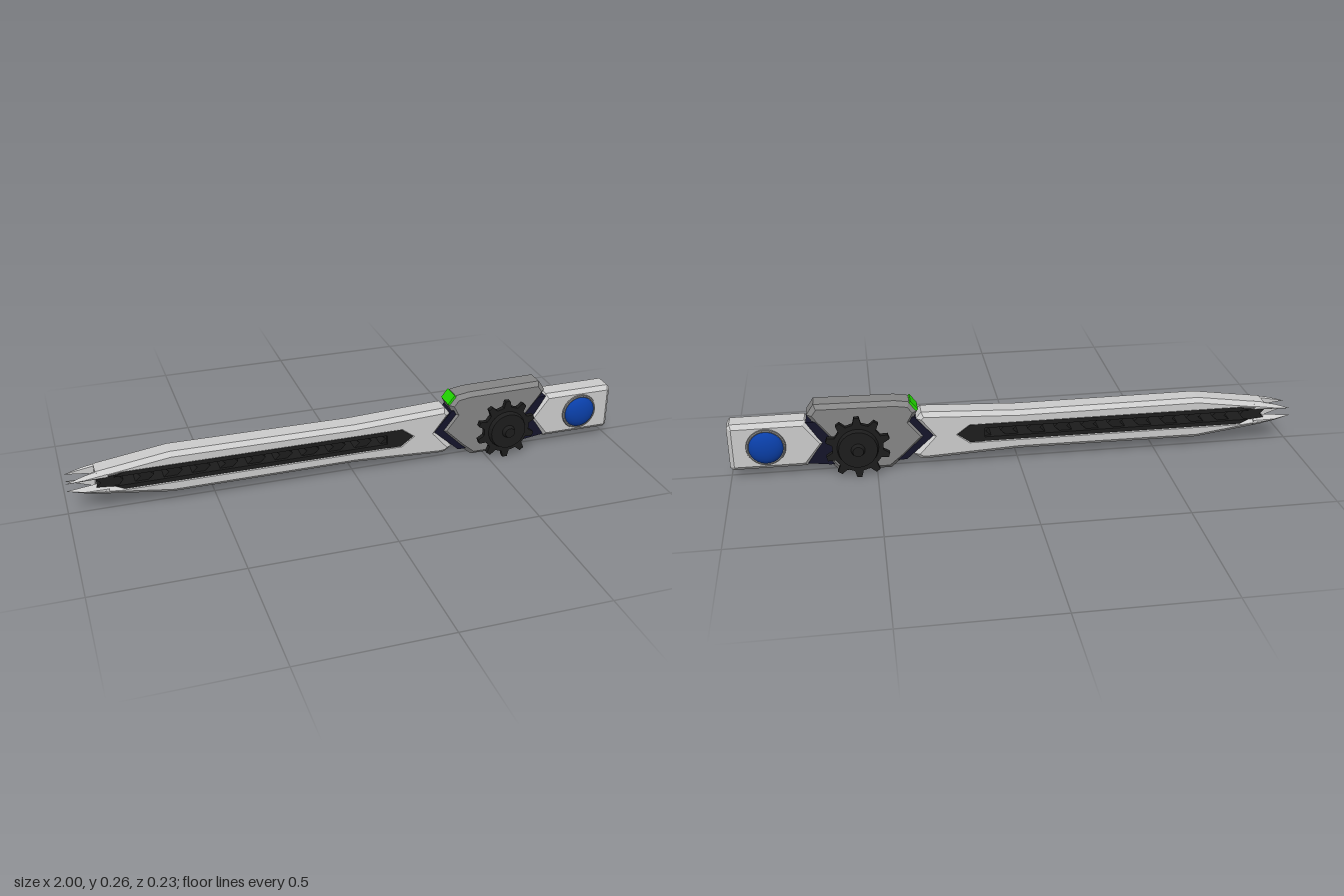
import * as THREE from 'three';
import { ConvexGeometry } from 'three/addons/geometries/ConvexGeometry.js';

const CY = 0.12; // height of the blade's centre line
const mat = (color) => new THREE.MeshStandardMaterial({ color, flatShading: true });
const silver = mat(0xcccccc), steel = mat(0x858585), black = mat(0x1c1c1c);
const navy = mat(0x14142a), green = mat(0x22dd00);
const blue = new THREE.MeshStandardMaterial({ color: 0x0a3fa8 });

export function createModel() {
  const model = new THREE.Group();

  const add = (name, geometry, material, parent = model) => {
    const mesh = new THREE.Mesh(geometry, material);
    mesh.name = name;
    parent.add(mesh);
    return mesh;
  };

  // Slab from an outline, centred on z = 0, with an optional chamfer inside the outline
  const slab = (points, half, chamfer = 0) => {
    const shape = new THREE.Shape(points.map(([x, y]) => new THREE.Vector2(x, y)));
    const depth = 2 * (half - chamfer);
    return new THREE.ExtrudeGeometry(shape, {
      depth, bevelEnabled: chamfer > 0, bevelThickness: chamfer, bevelSize: chamfer,
      bevelOffset: -chamfer, bevelSegments: 1, steps: 1,
    }).translate(0, 0, -depth / 2);
  };

  // Blade with an open slot down the middle and a notched root
  add('blade', slab([
    [-0.9, CY - 0.042], [-0.65, 0.043], [0, 0.046], [0.32, 0.03], [0.345, 0.032], [0.37, 0.052],
    [0.31, CY], [0.36, 0.185], [0.34, 0.209], [0, 0.194], [-0.65, 0.197], [-0.9, CY + 0.042],
    [-0.9, CY + 0.012], [-0.82, CY + 0.02], [0.17, CY + 0.02], [0.2, CY],
    [0.17, CY - 0.02], [-0.82, CY - 0.02], [-0.9, CY - 0.012],
  ], 0.045, 0.015), silver);

  // Four needle points at the tip
  for (const sy of [1, -1]) for (const sz of [1, -1]) {
    const points = [
      [-0.86, 0.01, 0.012], [-0.86, 0.022, 0.045], [-0.86, 0.034, 0.045],
      [-0.86, 0.048, 0.03], [-0.86, 0.048, 0.012], [-0.94, 0.022, 0.044],
      [-0.94, 0.032, 0.032], [-1, 0.013, 0.035],
    ].map(([x, y, z]) => new THREE.Vector3(x, CY + sy * y, sz * z));
    add('bladePoint', new ConvexGeometry(points), silver);
  }

  // Black slot lining: rails, end arrow, tip wedge and a row of chevrons
  for (const s of [1, -1]) {
    add('slotRail', slab([
      [-0.84, CY + s * 0.017], [0.14, CY + s * 0.017], [0.14, CY + s * 0.036], [-0.8, CY + s * 0.036],
    ], 0.042), black);
  }
  add('slotEnd', slab([
    [0.12, CY - 0.036], [0.17, CY - 0.034], [0.217, CY], [0.17, CY + 0.034], [0.12, CY + 0.036],
  ], 0.043), black);
  add('slotTip', slab([
    [-0.9, CY - 0.015], [-0.83, CY - 0.022], [-0.81, CY], [-0.83, CY + 0.022], [-0.9, CY + 0.015], [-0.885, CY],
  ], 0.035), black);
  for (let i = 0; i < 10; i++) {
    const x = -0.775 + i * 0.0965;
    add('slotChevron', slab([
      [x, CY - 0.02], [x + 0.045, CY - 0.02], [x + 0.068, CY],
      [x + 0.045, CY + 0.02], [x, CY + 0.02], [x + 0.023, CY],
    ], 0.03), black);
  }

  // Dark core showing in the gaps between blade, guard and handle
  add('core', slab([
    [0.3, CY], [0.395, 0.035], [0.66, 0.035], [0.735, 0.045], [0.685, CY], [0.735, 0.2], [0.365, 0.195],
  ], 0.038), navy);

  // Guard with a raised back and a small light on its sloping end
  add('guard', slab([
    [0.325, CY], [0.4, 0.047], [0.45, 0.005], [0.63, 0.005], [0.662, 0.045], [0.65, CY],
    [0.712, 0.198], [0.73, 0.225], [0.705, 0.262], [0.43, 0.258], [0.38, 0.25], [0.353, 0.216], [0.372, 0.18],
  ], 0.045, 0.015), steel);
  const light = add('guardLight', new THREE.BoxGeometry(0.04, 0.008, 0.066), green);
  light.position.set(0.366, 0.234, 0);
  light.rotation.z = Math.atan2(0.034, 0.027);

  // Handle with a pointed front end
  add('handle', slab([
    [0.672, CY], [0.738, 0.035], [0.99, 0.035], [1, 0.045], [1, 0.195], [0.99, 0.206], [0.738, 0.206],
  ], 0.045, 0.015), silver);

  // Toothed wheel outline
  const teeth = 10, outline = [];
  for (let i = 0; i < teeth; i++) {
    for (const [r, a] of [[0.088, -0.27], [0.112, -0.12], [0.112, 0.12], [0.088, 0.27]]) {
      const t = Math.PI / 2 + (i + a) * 2 * Math.PI / teeth;
      outline.push([r * Math.cos(t), r * Math.sin(t)]);
    }
  }
  const disc = (r0, r1, z0, z1) =>
    new THREE.CylinderGeometry(r1, r0, z1 - z0, 24).rotateX(Math.PI / 2).translate(0, 0, (z0 + z1) / 2);

  // Wheel and jewel, once on each face
  for (const side of [0, 1]) {
    const wheel = new THREE.Group();
    wheel.name = 'wheel';
    wheel.position.set(0.563, 0.1125, 0);
    wheel.rotation.y = side * Math.PI;
    model.add(wheel);
    add('wheelAxle', disc(0.058, 0.058, 0.03, 0.066), black, wheel);
    add('wheelTeeth', slab(outline, 0.009).translate(0, 0, 0.074), black, wheel);
    add('wheelHub', disc(0.072, 0.066, 0.08, 0.1), black, wheel);
    add('wheelCap', disc(0.024, 0.018, 0.1, 0.115), black, wheel);

    const jewel = new THREE.Group();
    jewel.name = 'jewel';
    jewel.position.set(0.873, CY, 0);
    jewel.rotation.y = side * Math.PI;
    model.add(jewel);
    add('jewelRing', new THREE.TorusGeometry(0.062, 0.006, 8, 32).translate(0, 0, 0.045), steel, jewel);
    const dome = new THREE.SphereGeometry(0.06, 32, 10, 0, Math.PI * 2, 0, Math.PI / 2)
      .rotateX(Math.PI / 2).scale(1, 1, 0.47).translate(0, 0, 0.044);
    add('jewelDome', dome, blue, jewel);
  }
  return model;
}
